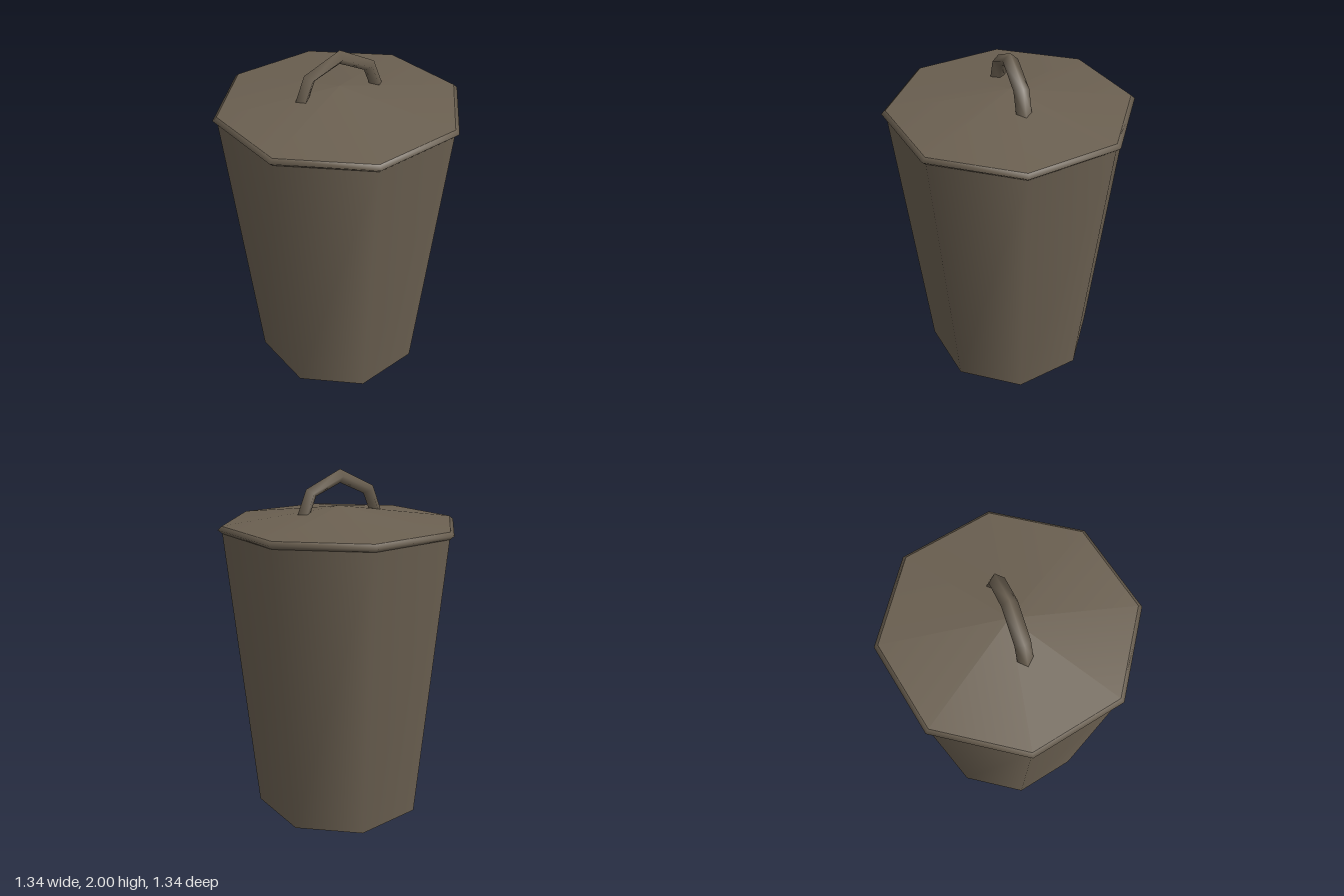
import * as THREE from 'three';

const SIDES = 8;
const TURN = (3 * Math.PI) / 16; // octagon is turned so no flat faces the front

// Diamond-section arch: each station has an outer, inner and two side corners.
function archGeometry(stations, halfDepth) {
  const pos = [], index = [];
  for (const [ox, oy, ix, iy] of stations) {
    const cx = (ox + ix) / 2, cy = (oy + iy) / 2;
    pos.push(ox, oy, 0, cx, cy, halfDepth, ix, iy, 0, cx, cy, -halfDepth);
  }
  for (let i = 0; i < stations.length - 1; i++) {
    for (let j = 0; j < 4; j++) {
      const a = i * 4 + j, d = i * 4 + ((j + 1) % 4);
      index.push(a, d, a + 4, d, d + 4, a + 4);
    }
  }
  const g = new THREE.BufferGeometry();
  g.setAttribute('position', new THREE.Float32BufferAttribute(pos, 3));
  g.setIndex(index);
  g.computeVertexNormals();
  return g;
}

export function createModel() {
  const metal = new THREE.MeshStandardMaterial({ color: 0x6b6051 });
  metal.name = 'dull brown metal';

  const bin = new THREE.Group();
  bin.name = 'bin';
  const add = (name, geometry, parent = bin) => {
    const mesh = new THREE.Mesh(geometry, metal);
    mesh.name = name;
    parent.add(mesh);
    return mesh;
  };

  // Tapered eight-sided body
  add('body', new THREE.CylinderGeometry(0.66, 0.515, 1.69, SIDES, 1, false, TURN)).position.y = 0.845;

  const lid = new THREE.Group();
  lid.name = 'lid';
  bin.add(lid);

  // Shallow cone on top of the lid
  add('lidTop', new THREE.CylinderGeometry(0, 0.66, 0.085, SIDES, 1, true, TURN), lid).position.y = 1.7575;

  // Bevelled rim with a narrow underside
  const rim = [[0.6, 1.675], [0.66, 1.675], [0.683, 1.695], [0.66, 1.715]];
  add('lidRim', new THREE.LatheGeometry(rim.map(([r, y]) => new THREE.Vector2(r, y)), SIDES, TURN), lid);

  // Arched handle, mirrored about its peak
  const half = [[0.261, 1.755, 0.186, 1.755], [0.205, 1.9, 0.145, 1.86]];
  const left = half.map(([ox, oy, ix, iy]) => [-ox, oy, -ix, iy]);
  add('handle', archGeometry([...left, [0, 2, 0, 1.925], ...half.reverse()], 0.042), lid);

  return bin;
}
